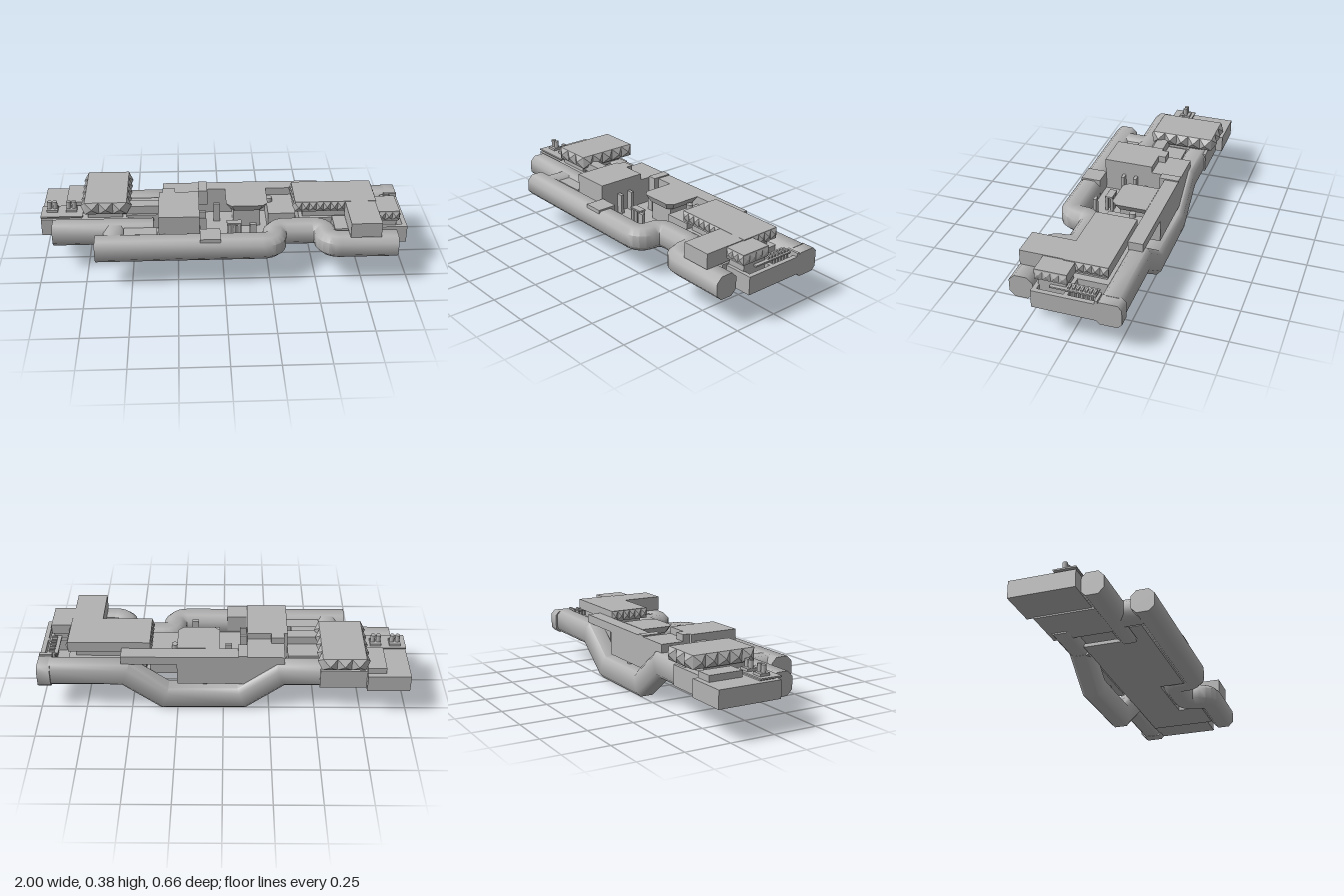
import * as THREE from 'three';
import { toCreasedNormals } from 'three/addons/utils/BufferGeometryUtils.js';

export function createModel() {
  const root = new THREE.Group();
  root.name = 'pipeworkStation';
  const hull = new THREE.MeshStandardMaterial({ color: 0xb2b2b2 });
  hull.name = 'hullGrey';

  const add = (name, geo, x = 0, y = 0, z = 0) => {
    const m = new THREE.Mesh(geo, hull);
    m.name = name;
    m.position.set(x, y, z);
    root.add(m);
    return m;
  };
  // Box given by its extents
  const box = (name, x0, x1, y0, y1, z0, z1) =>
    add(name, new THREE.BoxGeometry(x1 - x0, y1 - y0, z1 - z0), (x0 + x1) / 2, (y0 + y1) / 2, (z0 + z1) / 2);

  // Chamfered duct swept along a planar path; n is the normal of the path's plane
  function duct(name, pts, n, hw, hh, c = 0.03) {
    const section = [[hw, c - hh], [hw, hh - c], [hw - c, hh], [c - hw, hh], [-hw, hh - c], [-hw, c - hh], [c - hw, -hh], [hw - c, -hh]];
    const pos = [], idx = [], last = pts.length - 1;
    pts.forEach((p, i) => {
      const a = pts[Math.max(i - 1, 0)], b = pts[Math.min(i + 1, last)];
      const t0 = (i ? p.clone().sub(a) : b.clone().sub(p)).normalize();
      const t1 = (i < last ? b.clone().sub(p) : t0.clone()).normalize();
      const t = t0.clone().add(t1).normalize();
      const m = new THREE.Vector3().crossVectors(n, t).divideScalar(t.dot(t0));
      for (const [u, v] of section) pos.push(...p.clone().addScaledVector(m, u).addScaledVector(n, v).toArray());
    });
    for (let i = 0; i < last; i++) for (let k = 0; k < 8; k++) {
      const a = i * 8 + k, b = i * 8 + (k + 1) % 8;
      idx.push(a, b, b + 8, a, b + 8, a + 8);
    }
    for (let k = 1; k < 7; k++) idx.push(0, k + 1, k, last * 8, last * 8 + k, last * 8 + k + 1);
    const g = new THREE.BufferGeometry();
    g.setAttribute('position', new THREE.Float32BufferAttribute(pos, 3));
    g.setIndex(idx);
    return add(name, toCreasedNormals(g, 0.82));
  }
  // Round the inner corners of a polyline
  function rounded(pts, r) {
    const out = [pts[0]];
    for (let i = 1; i < pts.length - 1; i++) {
      const p = pts[i];
      const a = p.clone().add(pts[i - 1].clone().sub(p).setLength(r));
      const b = p.clone().add(pts[i + 1].clone().sub(p).setLength(r));
      out.push(...new THREE.QuadraticBezierCurve3(a, p, b).getPoints(6));
    }
    return [...out, pts[pts.length - 1]];
  }
  const Y = new THREE.Vector3(0, 1, 0), Z = new THREE.Vector3(0, 0, 1);
  const flat = list => list.map(([x, z]) => new THREE.Vector3(x, 0.22, z));

  // Rear duct with its dropped middle
  duct('rearDuct', [[-0.6, 0.222], [-0.31, 0.222], [-0.1, 0.065], [0.32, 0.065], [0.53, 0.222], [0.94, 0.222]]
    .map(([x, y]) => new THREE.Vector3(x, y, -0.215)), Z, 0.065, 0.058, 0.022);
  duct('rearDuctCap', flat([[0.93, -0.215], [1, -0.215]]), Y, 0.068, 0.065, 0.022);
  // Front duct with its inward loop, and the side duct joined to it
  duct('frontDuct', rounded(flat([[-0.69, 0.265], [0.275, 0.265], [0.275, 0.122], [0.555, 0.122], [0.555, 0.265], [0.93, 0.265]]), 0.07),
    Y, 0.063, 0.063);
  duct('sideDuct', flat([[-0.93, 0.09], [-0.38, 0.09]]), Y, 0.062, 0.063);
  duct('ductLink', flat([[-0.59, 0.07], [-0.59, 0.27]]), Y, 0.062, 0.06);
  box('ductStrap', -0.13, -0.02, 0.2, 0.292, 0.2, 0.31);

  // Floors
  box('middleFloor', -0.4, 0.22, 0.165, 0.185, -0.16, 0.21);
  box('leftFloor', -0.54, -0.36, 0.165, 0.27, 0.14, 0.21);
  box('linkFloor', 0.2, 0.5, 0.165, 0.185, -0.16, 0.07);
  box('sideShelf', -0.53, -0.35, 0.2, 0.285, -0.16, 0.03);
  box('sideShelfTop', -0.55, -0.35, 0.285, 0.332, -0.05, 0.015);

  // Rear panel filling the gap above the dropped duct
  box('rearPanel', -0.33, 0.25, 0.155, 0.333, -0.24, -0.16);
  box('rearPanelTop', 0.25, 0.55, 0.285, 0.333, -0.24, -0.16);
  box('panelClip', -0.13, -0.08, 0.25, 0.34, -0.24, -0.13);
  add('hangerRod', new THREE.CylinderGeometry(0.014, 0.014, 0.06, 8), 0.1, 0.14, -0.2);

  // Tall left block with its stepped rear
  box('leftBlock', -0.35, -0.13, 0.18, 0.37, -0.07, 0.205);
  box('leftBlockStep', -0.33, -0.26, 0.18, 0.37, -0.11, -0.07);
  box('leftBlockLedge', -0.33, -0.13, 0.18, 0.333, -0.16, -0.07);

  // Central hub: chamfered lid narrowing downwards, on a core
  const lid = new THREE.Shape([[0.02, 0.16], [0.02, -0.01], [0.05, -0.04], [0.22, -0.04], [0.25, -0.01], [0.25, 0.16]]
    .map(p => new THREE.Vector2(...p)));
  const lidGeo = new THREE.ExtrudeGeometry(lid, { depth: 0.04, bevelEnabled: false });
  lidGeo.rotateX(-Math.PI / 2);
  const lp = lidGeo.attributes.position;
  for (let i = 0; i < lp.count; i++) if (lp.getY(i) < 0.01) {
    lp.setX(i, 0.135 + (lp.getX(i) - 0.135) * 0.78);
    lp.setZ(i, -0.06 + (lp.getZ(i) + 0.06) * 0.8);
  }
  lidGeo.computeVertexNormals();
  add('hubLid', lidGeo, 0, 0.295, 0);
  box('hubCore', 0.06, 0.21, 0.18, 0.3, -0.16, 0.0);
  box('hubSide', 0.25, 0.4, 0.18, 0.29, -0.16, 0.05);
  add('hubKnob', new THREE.CylinderGeometry(0.018, 0.018, 0.03, 10), 0.265, 0.3, -0.09);

  // Small machinery in the open bay
  for (let i = 0; i < 3; i++) for (let j = 0; j < 2; j++)
    add('bayPipe', new THREE.CylinderGeometry(0.01, 0.01, 0.09, 8), 0.035 + i * 0.027, 0.225, 0.09 + j * 0.03);
  box('bayPipeRail', 0.02, 0.1, 0.265, 0.275, 0.085, 0.125);
  for (const [x, z] of [[-0.11, 0.02], [-0.11, 0.09], [-0.03, -0.065], [0.16, 0.16]])
    box('bayBracket', x - 0.018, x + 0.018, 0.18, 0.295, z - 0.009, z + 0.009);

  // Studded edges: rows of small four-sided points standing out from a side
  function studs(name, axis, sign, at, from, to, count, y, h, depth) {
    const step = (to - from) / count;
    for (let i = 0; i < count; i++) {
      const g = new THREE.ConeGeometry(Math.SQRT1_2, 1, 4, 1, false).toNonIndexed();
      g.rotateY(Math.PI / 4);
      g.computeVertexNormals();
      g.translate(0, 0.5, 0);
      g.scale(axis === 'x' ? h : step, depth, axis === 'x' ? step : h);
      if (axis === 'x') g.rotateZ(-sign * Math.PI / 2);
      else g.rotateX(sign * Math.PI / 2);
      const c = from + step * (i + 0.5);
      add(name, g, axis === 'x' ? at : c, y, axis === 'x' ? c : at);
    }
  }

  // Studded box near the right end
  box('studdedBox', -0.755, -0.525, 0.305, 0.375, -0.31, 0.045);
  for (const s of [-1, 1]) studs('boxStud', 'x', s, -0.64 + s * 0.115, -0.31, 0.045, 5, 0.34, 0.07, 0.025);
  studs('boxStud', 'z', -1, -0.31, -0.755, -0.525, 3, 0.34, 0.07, 0.026);
  studs('boxStud', 'z', 1, 0.045, -0.755, -0.525, 3, 0.34, 0.07, 0.02);
  box('studdedBoxNeck', -0.74, -0.55, 0.27, 0.31, -0.24, 0.03);
  box('studdedBoxBase', -0.78, -0.52, 0.165, 0.275, -0.28, 0.05);

  // Right end tray, stub deck and stubs
  box('tailBase', -1, -0.77, 0.173, 0.268, -0.32, 0.035);
  box('tailDeck', -1, -0.77, 0.28, 0.288, -0.085, 0.035);
  box('tailDeckSupport', -0.97, -0.78, 0.265, 0.282, -0.07, 0.02);
  box('tailWall', -0.87, -0.77, 0.265, 0.302, -0.29, -0.1);
  for (const x of [-0.94, -0.835]) {
    box('stubFoot', x - 0.03, x + 0.03, 0.288, 0.302, -0.068, -0.012);
    for (const d of [-0.015, 0.015])
      add('stub', new THREE.CylinderGeometry(0.013, 0.013, 0.055, 10), x + d, 0.315, -0.04);
  }

  // Cross-shaped block on the left end
  box('crossMain', 0.395, 0.84, 0.31, 0.37, -0.16, 0.07);
  box('crossFront', 0.67, 0.835, 0.285, 0.369, 0.07, 0.308);
  box('crossSide', 0.835, 0.95, 0.308, 0.365, 0.01, 0.18);
  studs('crossStud', 'x', -1, 0.395, -0.16, 0.07, 6, 0.34, 0.05, 0.014);
  studs('crossStud', 'z', 1, 0.07, 0.395, 0.67, 7, 0.34, 0.05, 0.014);
  studs('crossStud', 'x', 1, 0.84, -0.16, 0.01, 4, 0.34, 0.05, 0.014);
  studs('crossStud', 'z', 1, 0.18, 0.835, 0.95, 3, 0.335, 0.045, 0.01);
  studs('crossStud', 'x', 1, 0.95, 0.01, 0.18, 4, 0.335, 0.045, 0.01);
  box('crossNeck', 0.44, 0.8, 0.26, 0.312, -0.14, 0.05);
  box('crossBase', 0.42, 0.84, 0.167, 0.27, -0.16, 0.07);
  box('crossFrontBase', 0.6, 0.84, 0.167, 0.28, 0.07, 0.21);

  // Open tray at the left end, with a comb of teeth
  box('trayFloor', 0.83, 1, 0.172, 0.2, -0.16, 0.183);
  box('trayOuterWall', 0.975, 1, 0.172, 0.27, -0.16, 0.183);
  box('trayFrontWall', 0.83, 1, 0.172, 0.27, 0.16, 0.183);
  box('trayMiddleWall', 0.83, 1, 0.172, 0.27, 0.0, 0.02);
  box('trayBlock', 0.84, 0.94, 0.19, 0.31, 0.02, 0.165);
  box('trayRail', 0.9, 0.96, 0.278, 0.286, -0.14, 0.1);
  for (let i = 0; i < 7; i++) {
    const z = -0.135 + i * 0.022;
    box('combTooth', 0.92, 0.95, 0.2, 0.296, z, z + 0.011);
  }
  box('rearLug', 0.93, 1, 0.26, 0.29, -0.16, -0.145);

  return root;
}
